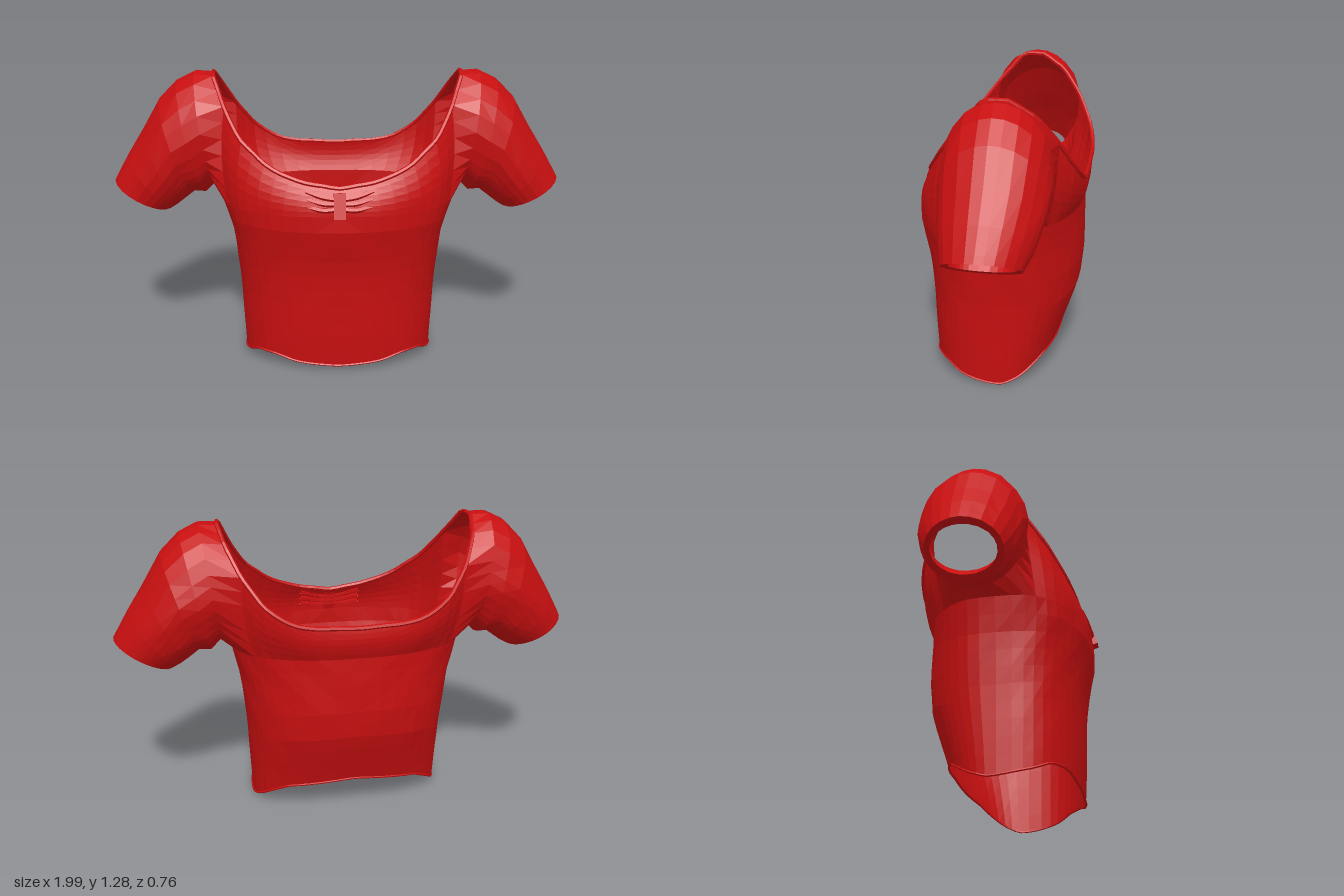
import * as THREE from 'three';

const red = new THREE.MeshStandardMaterial({ color: 0xc80f10, side: THREE.DoubleSide, flatShading: true });
red.name = 'red cloth';

const V = (x, y, z) => new THREE.Vector3(x, y, z);
const COLS = 24, ROWS = 10, YOKE = 6, CHEST = 0.75;
const ARM_FRONT = 9, ARM_BACK = 17; // columns bounding the armhole

// Smooth interpolation in rows of [key, value, value...]
function sample(table, k) {
  let i = 0;
  while (i < table.length - 2 && k > table[i + 1][0]) i++;
  const a = table[i], b = table[i + 1];
  const t = THREE.MathUtils.clamp((k - a[0]) / (b[0] - a[0]), 0, 1);
  return a.slice(1).map((v, n) => v + (b[n + 1] - v) * t);
}

// Torso half width, front depth and back depth by height
const section = [
  [0, 0.428, 0.298, 0.22], [0.15, 0.434, 0.308, 0.262], [0.37, 0.443, 0.315, 0.338],
  [0.5, 0.457, 0.326, 0.35], [0.6, 0.47, 0.346, 0.348], [0.7, 0.495, 0.366, 0.345], [0.76, 0.512, 0.36, 0.345],
];
// Hem height by angle, front to back
const hem = [
  [0, 0.03], [0.35, 0.045], [0.6, 0.072], [0.9, 0.075], [1.2, 0.04],
  [1.65, 0.008], [2, 0.04], [2.5, 0.115], [Math.PI, 0.15],
];
// Neckline points by angle, front to back
const neck = [
  [0, 0, 0.86, 0.318], [0.3, 0.16, 0.885, 0.31], [0.6, 0.29, 0.935, 0.277], [0.95, 0.42, 1.045, 0.2],
  [1.15, 0.48, 1.15, 0.12], [1.45, 0.538, 1.28, 0], [1.7, 0.543, 1.28, -0.09], [2, 0.52, 1.21, -0.2],
  [2.25, 0.46, 1.09, -0.285], [2.55, 0.37, 0.97, -0.345], [2.8, 0.24, 0.9, -0.362], [Math.PI, 0, 0.888, -0.362],
];
// Sleeve rings: top x, top y, bottom x, bottom y, z centre, z radius
const sleeveRings = [
  [0.62, 1.288, 0.55, 0.785, -0.057, 0.212], [0.7, 1.25, 0.59, 0.745, -0.06, 0.214],
  [0.78, 1.17, 0.64, 0.75, -0.06, 0.21], [0.86, 1.035, 0.68, 0.72, -0.058, 0.197],
  [0.93, 0.925, 0.72, 0.69, -0.053, 0.178], [0.982, 0.835, 0.745, 0.675, -0.048, 0.158],
  [0.997, 0.808, 0.755, 0.67, -0.046, 0.152], [0.965, 0.797, 0.785, 0.69, -0.048, 0.128],
  [0.93, 0.86, 0.74, 0.735, -0.052, 0.14],
];

// Surface through equal rows of points
function loft(rows, flip, closed = false) {
  const n = rows[0].length, index = [];
  for (let r = 0; r < rows.length - 1; r++) {
    for (let c = 0; c < (closed ? n : n - 1); c++) {
      const a = r * n + c, b = r * n + (c + 1) % n, d = a + n, e = b + n;
      index.push(...(flip ? [a, d, b, b, d, e] : [a, b, d, b, e, d]));
    }
  }
  const g = new THREE.BufferGeometry().setFromPoints(rows.flat());
  g.setIndex(index);
  g.computeVertexNormals();
  return g;
}

function add(group, name, geometry) {
  const m = new THREE.Mesh(geometry, red);
  m.name = name;
  group.add(m);
  return m;
}

const angle = (j) => (j / COLS) * Math.PI;

// Body point at column j and height fraction t from hem to chest
function bodyPoint(j, t, s) {
  const f = angle(j), y = THREE.MathUtils.lerp(sample(hem, f)[0], CHEST, t);
  const [w, front, back] = sample(section, y);
  const si = Math.sin(f), co = Math.cos(f);
  const fold = 1 + 0.008 * Math.sin(f * 9 + y * 8) * Math.sin(y * 17 + f * 3) * t;
  const z = Math.sign(co) * Math.pow(Math.abs(co), 0.8) * (co > 0 ? front : back);
  return V(s * w * Math.pow(Math.max(si, 0), 0.8) * fold, y, z * fold);
}

const neckPoint = (j, s) => {
  const [x, y, z] = sample(neck, angle(j));
  return V(s * x, y, z);
};

// Yoke point between chest (t = 0) and neckline (t = 1)
function yokePoint(j, t, s) {
  const p = bodyPoint(j, 1, s).lerp(neckPoint(j, s), t);
  const bulge = 1 + 0.035 * Math.sin(Math.PI * t);
  return V(p.x * bulge, p.y, p.z * bulge);
}

const range = (a, b, fn) => Array.from({ length: Math.abs(b - a) + 1 }, (_, i) => fn(a + i * Math.sign(b - a)));

function buildSide(s) {
  const side = new THREE.Group();
  side.name = s > 0 ? 'leftSide' : 'rightSide';
  const flip = s < 0;
  const yoke = (j, r) => yokePoint(j, r / YOKE, s);

  add(side, 'bodice', loft(range(0, ROWS, (r) => range(0, COLS, (j) => bodyPoint(j, r / ROWS, s))), flip));
  add(side, 'frontYoke', loft(range(0, YOKE, (r) => range(0, ARM_FRONT, (j) => yoke(j, r))), flip));
  add(side, 'backYoke', loft(range(0, YOKE, (r) => range(ARM_BACK, COLS, (j) => yoke(j, r))), flip));

  // Armhole loop: over the shoulder, down the back, underarm, up the front
  const armhole = [
    ...range(ARM_FRONT, ARM_BACK, (j) => yoke(j, YOKE)),
    ...range(YOKE - 1, 0, (r) => yoke(ARM_BACK, r)),
    ...range(ARM_BACK - 1, ARM_FRONT, (j) => yoke(j, 0)),
    ...range(1, YOKE - 1, (r) => yoke(ARM_FRONT, r)),
  ];
  const rings = sleeveRings.map(([tx, ty, bx, by, zc, rz], k) => armhole.map((p) => {
    const a = Math.atan2((p.y - 1.01) / 0.27, (p.z + 0.05) / 0.21);
    const h = (1 + Math.sin(a)) / 2;
    const pleat = k < 4 ? 1 + 0.015 * Math.sin(a * 8 + k) : 1;
    return V(s * (bx + (tx - bx) * h), by + (ty - by) * h, zc + rz * Math.cos(a) * pleat);
  }));
  add(side, 'puffSleeve', loft([armhole, ...rings], !flip, true));
  return side;
}

export function createModel() {
  const top = new THREE.Group();
  top.name = 'croppedTop';
  top.add(buildSide(1), buildSide(-1));

  // Rolled edges at the neckline and hem
  const loop = (fn) => new THREE.CatmullRomCurve3(
    [...range(0, COLS, (j) => fn(j, 1)), ...range(COLS - 1, 1, (j) => fn(j, -1))], true);
  add(top, 'necklineBinding', new THREE.TubeGeometry(loop(neckPoint), 96, 0.01, 6, true));
  add(top, 'hemBinding', new THREE.TubeGeometry(loop((j, s) => bodyPoint(j, 0, s)), 96, 0.005, 5, true));

  // Gathered bow on the front neckline
  const bow = new THREE.Group();
  bow.name = 'bow';
  const knot = add(bow, 'bowKnot', new THREE.BoxGeometry(0.05, 0.11, 0.022));
  knot.position.set(0, 0.795, 0.358);
  knot.rotation.x = -0.3;
  for (const s of [1, -1]) {
    for (const k of [-1, 0, 1]) {
      const curve = new THREE.CatmullRomCurve3([
        V(0, 0.8 + k * 0.018, 0.35 - k * 0.006),
        V(s * 0.07, 0.803 + k * 0.026, 0.35 - k * 0.008),
        V(s * 0.14, 0.82 + k * 0.03, 0.332 - k * 0.008),
      ]);
      add(bow, 'bowFold', new THREE.TubeGeometry(curve, 8, 0.011, 5));
    }
  }
  top.add(bow);
  return top;
}
